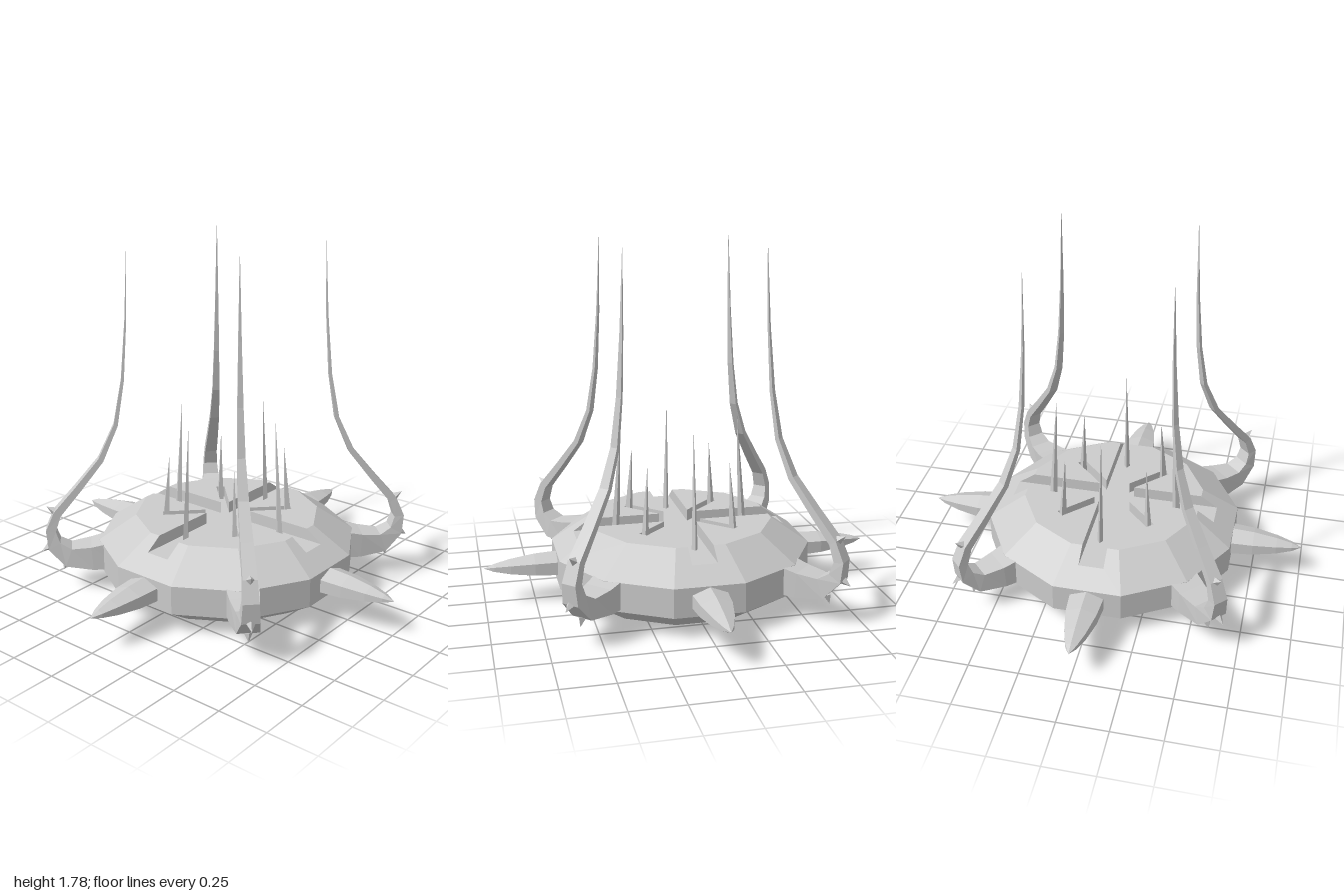
import * as THREE from 'three';

const grey = new THREE.MeshStandardMaterial({ color: 0xcccccc, flatShading: true, side: THREE.DoubleSide });

function add(parent, geometry, name, angle = 0) {
  const mesh = new THREE.Mesh(geometry, grey);
  mesh.name = name;
  mesh.rotation.y = angle;
  parent.add(mesh);
  return mesh;
}

// Surface from equal-length rows of [x, y, z] points; closed joins each row's end to its start
function loft(rows, closed) {
  const n = rows[0].length;
  const index = [];
  for (let i = 0; i < rows.length - 1; i++) {
    for (let j = 0; j < (closed ? n : n - 1); j++) {
      const a = i * n + j, b = i * n + (j + 1) % n;
      index.push(a, b, b + n, a, b + n, a + n);
    }
  }
  const g = new THREE.BufferGeometry();
  g.setAttribute('position', new THREE.Float32BufferAttribute(rows.flat(2), 3));
  g.setIndex(index);
  g.computeVertexNormals();
  return g;
}

const shapeOf = (pts) => new THREE.Shape(pts.map(([x, y]) => new THREE.Vector2(x, y)));
const flat = (pts, y) => new THREE.ShapeGeometry(shapeOf(pts)).rotateX(-Math.PI / 2).translate(0, y, 0);

// Hull dimensions
const SIDE = 0.64, TOP = 0.455, SHOULDER = 0.25, DECK = 0.38, FLOOR = 0.32, GROOVE = 0.063;
const tan15 = Math.tan(Math.PI / 12), cos15 = Math.cos(Math.PI / 12);
const groovedEnd = SIDE - (SIDE - TOP) * (FLOOR - SHOULDER) / (DECK - SHOULDER);

// Groove outline in one quadrant: x, z and height of the wall top
const groovePath = [
  [GROOVE, groovedEnd, FLOOR], [GROOVE, TOP, DECK], [GROOVE, GROOVE + 0.031, DECK], [0.22, 0.251, DECK],
  [0.251, 0.22, DECK], [GROOVE + 0.031, GROOVE, DECK], [TOP, GROOVE, DECK], [groovedEnd, GROOVE, FLOOR],
];

function buildHull() {
  const hull = new THREE.Group();
  hull.name = 'hull';

  // Twelve-sided lower shell, open underneath
  const profile = [[0.48, 0], [SIDE, 0.105], [SIDE, SHOULDER]].map(([r, y]) => new THREE.Vector2(r / cos15, y));
  add(hull, new THREE.LatheGeometry(profile, 12, Math.PI / 12), 'lowerShell');

  // Sloping shoulder panels, notched where the wide grooves run out
  const slope = Math.hypot(SIDE - TOP, DECK - SHOULDER);
  const cut = slope * (FLOOR - SHOULDER) / (DECK - SHOULDER);
  for (let i = 0; i < 12; i++) {
    const b = SIDE * tan15, t = TOP * tan15;
    const notch = i % 3 ? [] : [[GROOVE, slope], [GROOVE, cut], [-GROOVE, cut], [-GROOVE, slope]];
    const g = new THREE.ShapeGeometry(shapeOf([[-b, 0], [b, 0], [t, slope], ...notch, [-t, slope]]));
    g.rotateX(-Math.atan2(SIDE - TOP, DECK - SHOULDER)).translate(0, SHOULDER, SIDE);
    add(hull, g, 'shoulderPanel', i * Math.PI / 6);
  }

  // Deck quadrants and the groove walls beside them
  const r = TOP / cos15 * Math.SQRT1_2, e = TOP * tan15;
  const deck = [...groovePath.slice(1, -1), [TOP, e], [r, r], [e, TOP]];
  const walls = loft([
    groovePath.map(([x, z, h]) => [x, h, -z]),
    groovePath.map(([x, z]) => [x, FLOOR, -z]),
  ], false);
  const floor = [];
  for (let k = 0; k < 4; k++) {
    add(hull, flat(deck, DECK), 'deckQuadrant', k * Math.PI / 2);
    add(hull, walls, 'grooveWalls', k * Math.PI / 2);
    const c = Math.round(Math.cos(k * Math.PI / 2)), s = Math.round(Math.sin(k * Math.PI / 2));
    for (const [x, z] of groovePath) floor.push([c * x + s * z, c * z - s * x]);
  }
  add(hull, flat(floor, FLOOR), 'grooveFloor');
  return hull;
}

// Horn with a six-sided section, pointing along +z
function hornGeometry() {
  const pts = [[1, 0.635], [0.9, 0.75], [0.62, 0.87], [0.32, 0.95], [0, 1]];
  const g = new THREE.LatheGeometry(pts.map(([r, z]) => new THREE.Vector2(r, z)), 6);
  return g.rotateX(Math.PI / 2).scale(0.098, 0.066, 1).translate(0, 0.18, 0);
}

// Tentacle stations: reach, height, thickness, half width
const stations = [
  [0.56, 0.195, 0.15, 0.085], [0.70, 0.175, 0.125, 0.072], [0.82, 0.178, 0.10, 0.055],
  [0.89, 0.24, 0.07, 0.044], [0.905, 0.32, 0.05, 0.038], [0.87, 0.41, 0.04, 0.034],
  [0.76, 0.54, 0.034, 0.03], [0.64, 0.69, 0.028, 0.025], [0.56, 0.87, 0.021, 0.019],
  [0.52, 1.10, 0.015, 0.014], [0.497, 1.40, 0.009, 0.008], [0.482, 1.78, 0.001, 0.001],
];

// Outward direction (z, y) across the tentacle at a station
function outward(i) {
  const a = stations[Math.max(i - 1, 0)], b = stations[Math.min(i + 1, stations.length - 1)];
  const dz = b[0] - a[0], dy = b[1] - a[1], len = Math.hypot(dz, dy);
  return [dy / len, -dz / len];
}

function buildTentacle() {
  const tentacle = new THREE.Group();
  tentacle.name = 'tentacle';
  const rows = stations.map(([z, y, t, w], i) => {
    const [nz, ny] = outward(i);
    const h = t / 2;
    return [[-w, y + ny * h, z + nz * h], [w, y + ny * h, z + nz * h],
      [w, y - ny * h, z - nz * h], [-w, y - ny * h, z - nz * h]];
  });
  add(tentacle, loft(rows, true), 'tentacleArm');

  // Thorns along the outer bend
  for (const i of [2, 3, 5]) {
    const [z, y, t] = stations[i];
    const [nz, ny] = outward(i);
    const thorn = add(tentacle, new THREE.ConeGeometry(0.021, 0.045, 4), 'thorn');
    thorn.quaternion.setFromUnitVectors(new THREE.Vector3(0, 1, 0), new THREE.Vector3(0, ny, nz));
    const d = t / 2 + 0.02;
    thorn.position.set(0, y + ny * d, z + nz * d);
  }
  return tentacle;
}

// Four-sided needle standing in a groove and leaning towards the centre
function needleGeometry(width, depth, base, tip, top, turn) {
  const h = top - FLOOR;
  const g = new THREE.ConeGeometry(1, h, 4).rotateY(turn).scale(width, 1, depth).translate(0, h / 2, 0);
  const p = g.attributes.position;
  for (let i = 0; i < p.count; i++) p.setZ(i, p.getZ(i) + base + (tip - base) * p.getY(i) / h);
  return g.translate(0, FLOOR, 0);
}

export function createModel() {
  const model = new THREE.Group();
  model.name = 'spikedDisc';
  model.add(buildHull());

  const horn = hornGeometry();
  const tallNeedle = needleGeometry(0.015, 0.021, 0.333, 0.30, 0.925, 0);
  const shortNeedle = needleGeometry(0.019, 0.024, 0.318, 0.293, 0.71, Math.PI / 4);
  for (let k = 0; k < 4; k++) {
    const straight = k * Math.PI / 2, diagonal = straight + Math.PI / 4;
    add(model, horn, 'horn', straight);
    add(model, tallNeedle, 'tallNeedle', straight);
    add(model, shortNeedle, 'shortNeedle', diagonal);
    const tentacle = buildTentacle();
    tentacle.rotation.y = diagonal;
    model.add(tentacle);
  }
  return model;
}
